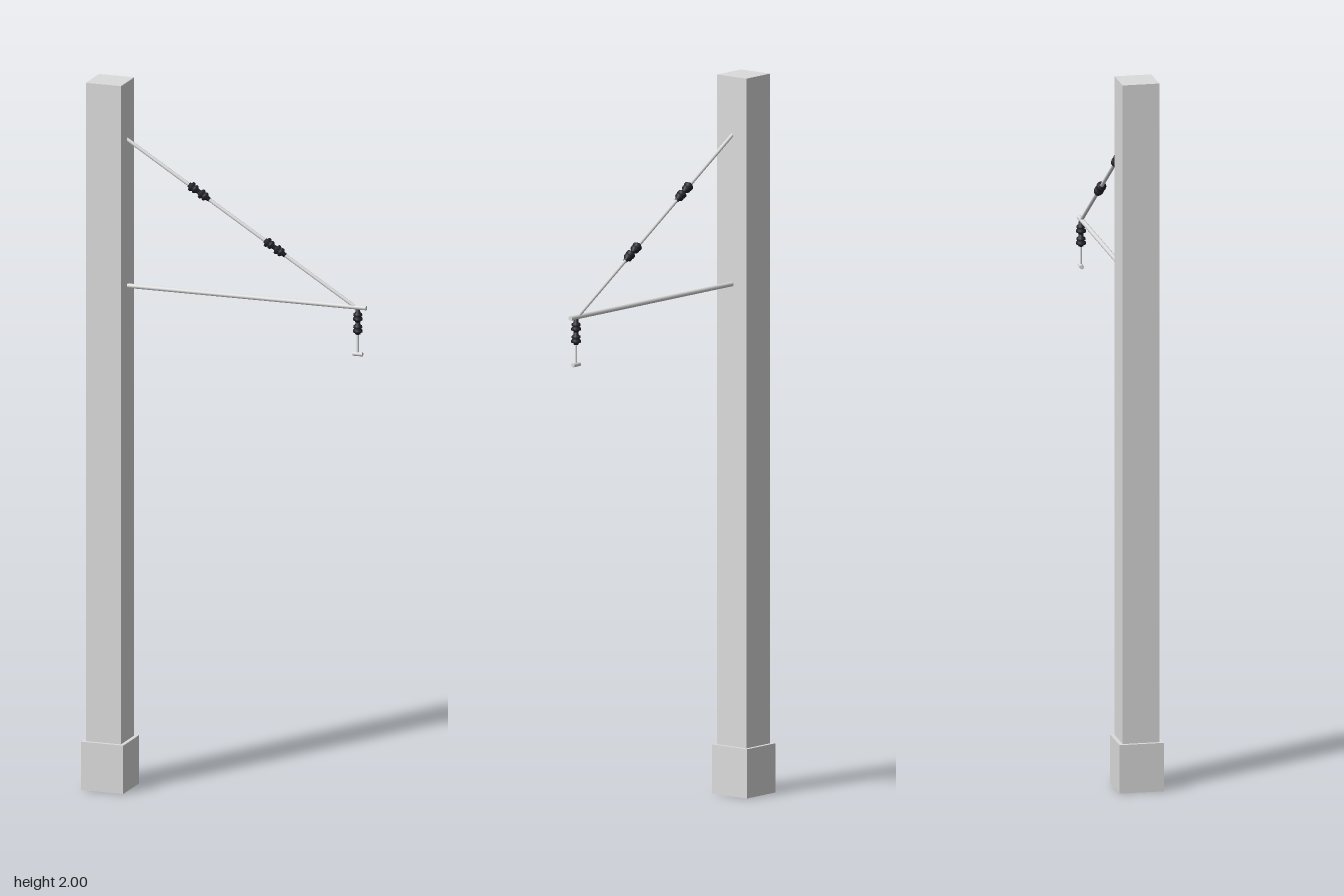
import * as THREE from 'three';

export function createModel() {
  const model = new THREE.Group();
  model.name = 'catenaryPole';
  const mat = (name, color) => {
    const m = new THREE.MeshStandardMaterial({ color });
    m.name = name;
    return m;
  };
  const concrete = mat('light concrete grey', 0xdcdcdc);
  const steel = mat('light steel grey', 0xdddddd);
  const ceramic = mat('dark ceramic', 0x23232b);
  ceramic.side = THREE.DoubleSide;

  const add = (name, geometry, material, parent = model) => {
    const m = new THREE.Mesh(geometry, material);
    m.name = name;
    parent.add(m);
    return m;
  };
  const V = (x, y) => new THREE.Vector3(x, y, 0);
  const UP = V(0, 1);

  // Round bar between two points
  const rod = (name, a, b, r) => {
    const d = b.clone().sub(a);
    const m = add(name, new THREE.CylinderGeometry(r, r, d.length(), 12), steel);
    m.position.copy(a).add(b).multiplyScalar(0.5);
    m.quaternion.setFromUnitVectors(UP, d.normalize());
  };

  // Square post and footing
  const px = -0.344;
  add('footing', new THREE.BoxGeometry(0.124, 0.137, 0.124), concrete).position.set(px, 0.0685, 0);
  add('post', new THREE.BoxGeometry(0.103, 1.863, 0.103), concrete).position.set(px, 1.0685, 0);

  // Horizontal arm and sloping stay
  rod('arm', V(-0.3, 1.423), V(0.406, 1.423), 0.0065);
  const top = V(-0.3, 1.841), tip = V(0.375, 1.423);
  rod('stay', top, tip, 0.005);

  // Bell insulator with two sharp sheds, wide rim towards -y
  const bell = [
    [0.002, -0.018], [0.007, -0.018], [0.008, -0.013], [0.0135, -0.012], [0.0135, -0.006],
    [0.009, -0.002], [0.0125, 0.001], [0.012, 0.006], [0.007, 0.010], [0.006, 0.019], [0.002, 0.019],
  ].map(([r, y]) => new THREE.Vector2(r, y));
  const bellGeometry = new THREE.LatheGeometry(bell, 16);
  const insulator = (name, center, axis) => {
    const g = new THREE.Group();
    g.name = name;
    g.position.copy(center);
    g.quaternion.setFromUnitVectors(UP, axis);
    for (const y of [-0.017, 0.017]) add('bell', bellGeometry, ceramic, g).position.y = y;
    model.add(g);
  };
  const slope = tip.clone().sub(top).normalize();
  for (const x of [-0.083, 0.139]) {
    const t = (x - top.x) / (tip.x - top.x);
    insulator('stayInsulator', top.clone().lerp(tip, t), slope);
  }

  // Hanging insulator, drop rod and wire clamp
  insulator('hangingInsulator', V(0.381, 1.382), UP);
  rod('dropRod', V(0.381, 1.423), V(0.381, 1.29), 0.003);
  rod('wireClamp', V(0.367, 1.291), V(0.395, 1.291), 0.006);
  return model;
}
